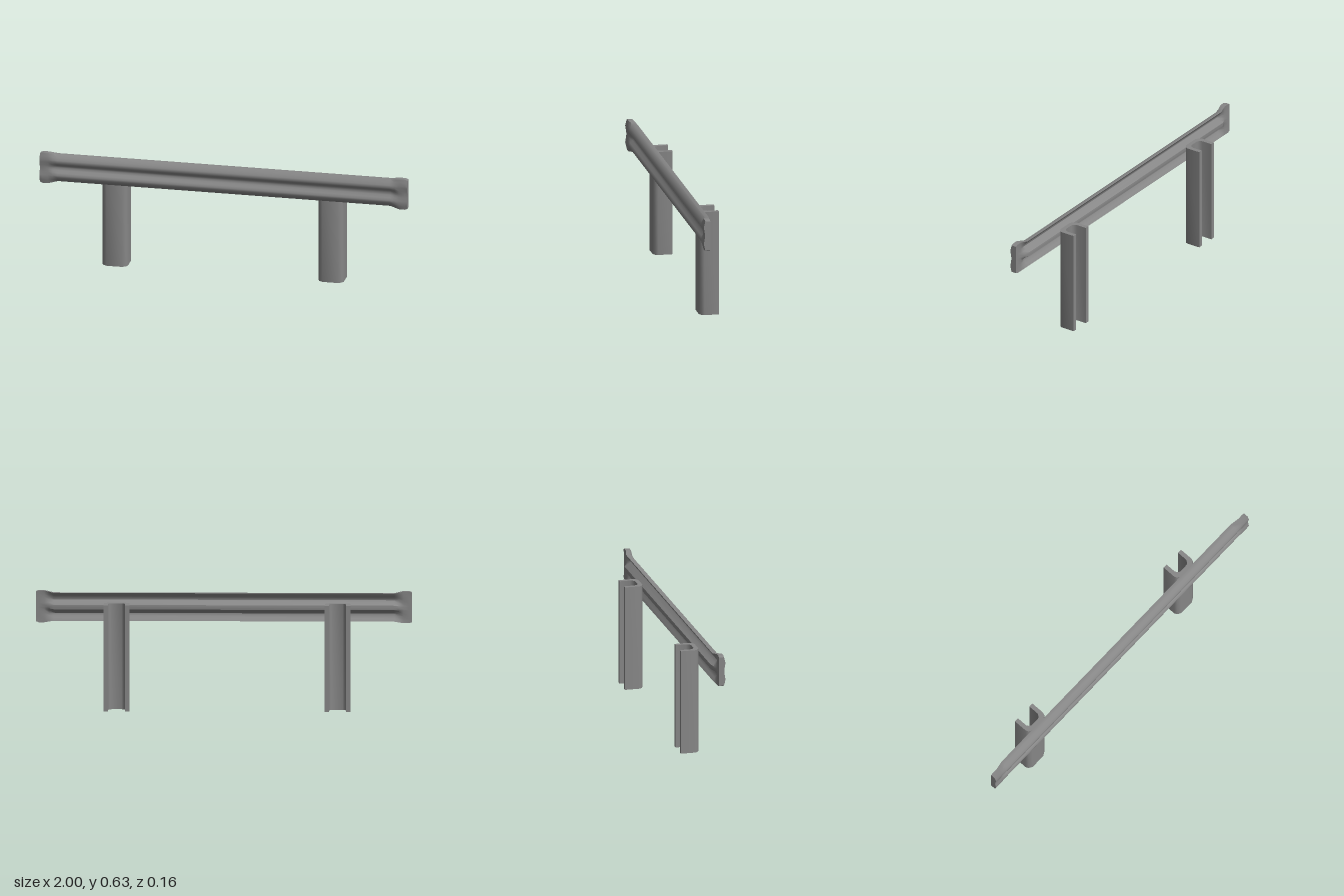
import * as THREE from 'three';
import { toCreasedNormals } from 'three/addons/utils/BufferGeometryUtils.js';

const MID_Y = 0.545;

// Half cross-sections, outer edge to centre line: [height offset, front z, back z]
const CORRUGATED = [[0.075, 0.054, 0.032], [0.06, 0.068, 0.043], [0.048, 0.078, 0.056], [0.036, 0.08, 0.058],
  [0.024, 0.072, 0.045], [0.012, 0.058, 0.023], [0, 0.053, 0.023]];
const FLARED = [[0.085, 0.071, 0.043], [0.068, 0.075, 0.044], [0.05, 0.079, 0.044], [0.036, 0.077, 0.044],
  [0.018, 0.074, 0.044], [0.008, 0.073, 0.044], [0, 0.073, 0.044]];

// Stations along one half of the rail: [x, blend towards flared section, height scale]
const STATIONS = [[0.905, 0, 1], [0.93, 0.5, 1], [0.955, 1, 1], [0.985, 1, 1], [1, 1, 0.93]];

function sectionRing(x, blend, scale) {
  const half = CORRUGATED.map((p, i) => p.map((v, k) => THREE.MathUtils.lerp(v, FLARED[i][k], blend)));
  const full = [...half, ...half.slice(0, -1).reverse().map(([d, f, b]) => [-d, f, b])];
  const front = full.map(([d, f]) => [x, MID_Y + d * scale, f]);
  const back = full.map(([d, , b]) => [x, MID_Y + d * scale, b]).reverse();
  return [...front, ...back];
}

function railGeometry() {
  const stations = [...STATIONS.map(([x, b, s]) => [-x, b, s]).reverse(), ...STATIONS];
  const rings = stations.map((s) => sectionRing(...s));
  const n = rings[0].length;
  const index = [];
  const quad = (a, b, c, d) => index.push(a, b, c, a, c, d);
  // Skin between neighbouring sections
  for (let j = 0; j < rings.length - 1; j++) {
    for (let i = 0; i < n; i++) {
      const k = (i + 1) % n;
      quad(j * n + i, j * n + k, (j + 1) * n + k, (j + 1) * n + i);
    }
  }
  // End caps, strips from front to back
  const last = (rings.length - 1) * n;
  for (let i = 0; i < n / 2 - 1; i++) {
    quad(last + i, last + i + 1, last + n - 2 - i, last + n - 1 - i);
    quad(n - 1 - i, n - 2 - i, i + 1, i);
  }
  const geometry = new THREE.BufferGeometry();
  geometry.setAttribute('position', new THREE.Float32BufferAttribute(rings.flat(2), 3));
  geometry.setIndex(index);
  return toCreasedNormals(geometry, 0.9);
}

// Channel post, open to the back, with rounded front corners
function postGeometry() {
  const half = [[0.0685, 0.08], [0.0685, 0.003], [0.062, -0.011], [0.042, -0.023]];
  const inner = [[0.026, 0], [0.037, 0.007], [0.045, 0.022], [0.045, 0.08]];
  const mirror = (pts) => pts.map(([x, y]) => [-x, y]).reverse();
  const outline = [...half, ...mirror(half), ...mirror(inner), ...inner];
  const shape = new THREE.Shape(outline.map(([x, y]) => new THREE.Vector2(x, y)));
  const geometry = new THREE.ExtrudeGeometry(shape, { depth: 0.57, bevelEnabled: false });
  geometry.rotateX(-Math.PI / 2);
  return toCreasedNormals(geometry, 0.75);
}

export function createModel() {
  const group = new THREE.Group();
  group.name = 'guardrail';
  const material = new THREE.MeshStandardMaterial({ color: 0x878787 });

  const rail = new THREE.Mesh(railGeometry(), material);
  rail.name = 'rail';
  group.add(rail);

  const post = postGeometry();
  for (const [name, x] of [['rightPost', -0.606], ['leftPost', 0.569]]) {
    const mesh = new THREE.Mesh(post, material);
    mesh.name = name;
    mesh.position.x = x;
    group.add(mesh);
  }
  return group;
}
